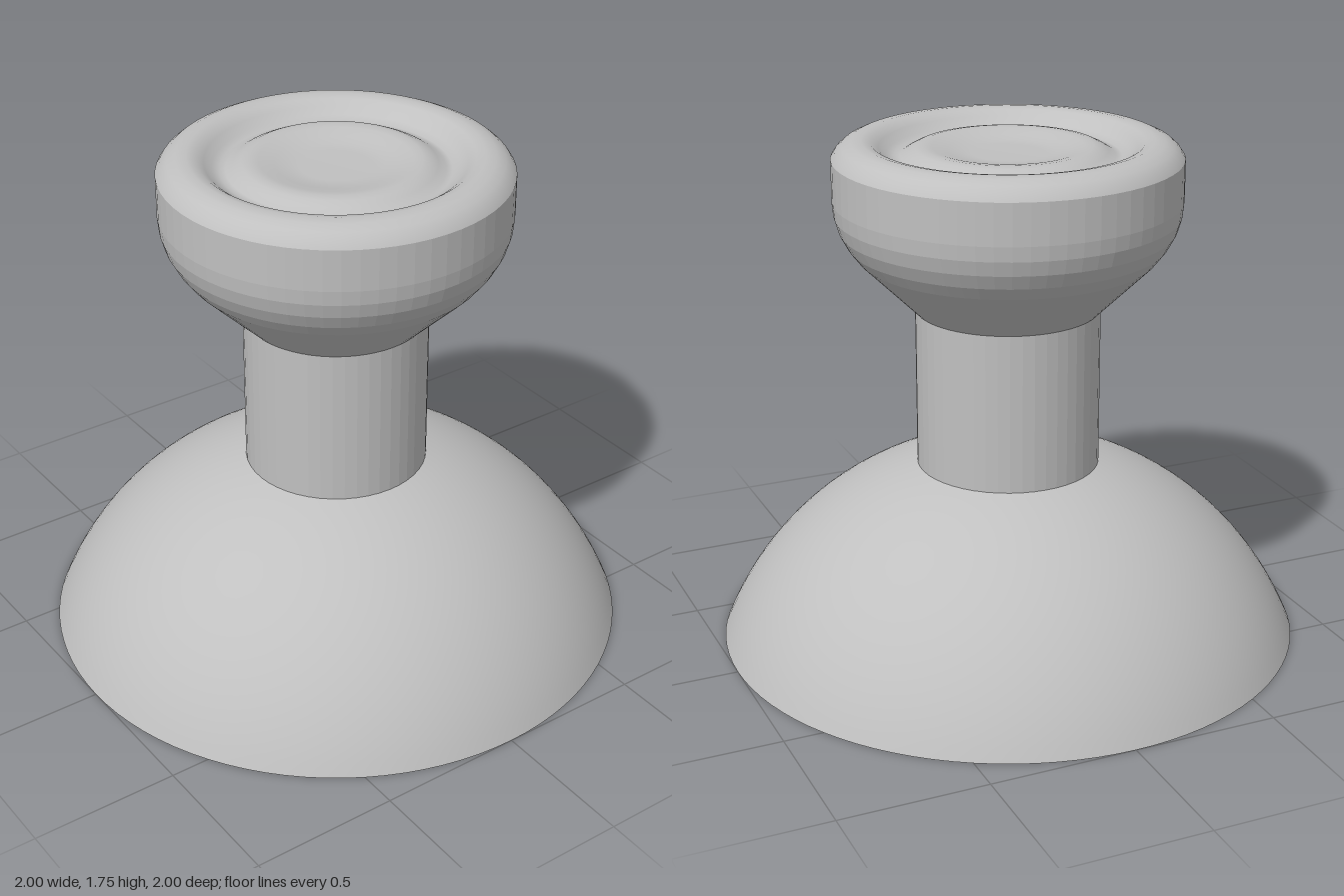
import * as THREE from 'three';

const grey = new THREE.MeshStandardMaterial({ color: 0xc0c0c0 });
grey.name = 'light grey plastic';

const STEM_R = 0.313;

// Spin a profile of [radius, height] pairs, running anticlockwise around the section
function spin(name, points, { sides = 64, faceted = false } = {}) {
  let geometry = new THREE.LatheGeometry(points.map(([r, y]) => new THREE.Vector2(r, y)), sides);
  if (faceted) {
    geometry = geometry.toNonIndexed();
    geometry.computeVertexNormals();
  }
  const mesh = new THREE.Mesh(geometry, grey);
  mesh.name = name;
  return mesh;
}

// Part of a sphere section between two heights, centred below the ground
function arc(r0, y0, y1, centreY = -0.419, steps = 20) {
  const radius = Math.hypot(r0, y0 - centreY);
  const a0 = Math.asin((y0 - centreY) / radius);
  const a1 = Math.asin((y1 - centreY) / radius);
  return Array.from({ length: steps + 1 }, (_, i) => {
    const a = a0 + (a1 - a0) * i / steps;
    return [radius * Math.cos(a), centreY + radius * Math.sin(a)];
  });
}

export function createModel() {
  const model = new THREE.Group();
  model.name = 'thumbstick';

  // Hollow dome: outside, rim, inside and flat ceiling
  const dome = new THREE.Group();
  dome.name = 'dome';
  const inside = arc(0.95, 0, 0.44).reverse();
  dome.add(
    spin('domeOutside', arc(1, 0, 0.62), { sides: 96 }),
    spin('domeRim', [[0.95, 0], [1, 0]], { sides: 96 }),
    spin('domeInside', inside, { sides: 96 }),
    spin('domeCeiling', [[0.3, 0.44], inside[0]], { sides: 96 }),
  );
  model.add(dome);

  // Stem with a double-flatted socket, its lower end a boss under the ceiling
  const section = new THREE.Shape();
  section.absarc(0, 0, STEM_R, 0, Math.PI * 2);
  const socket = new THREE.Path();
  const flat = Math.acos(0.135 / 0.19);
  socket.absarc(0, 0, 0.19, flat, Math.PI - flat);
  socket.absarc(0, 0, 0.19, Math.PI + flat, Math.PI * 2 - flat);
  socket.closePath();
  section.holes.push(socket);
  const stemGeometry = new THREE.ExtrudeGeometry(section, {
    depth: 0.77, bevelEnabled: false, curveSegments: 24,
  });
  stemGeometry.rotateX(-Math.PI / 2).translate(0, 0.4, 0);
  const stem = new THREE.Mesh(stemGeometry, grey);
  stem.name = 'stem';
  model.add(stem);

  // Flared cap with a rounded rim, ring groove and dished centre
  const cap = new THREE.Group();
  cap.name = 'cap';
  cap.add(
    spin('capFlare', [
      [0, 1.17], [STEM_R, 1.17], [0.5, 1.355], [0.535, 1.4], [0.562, 1.45],
      [0.577, 1.5], [0.582, 1.55], [0.582, 1.69],
    ], { faceted: true }),
    spin('capTop', [
      [0.582, 1.69], [0.568, 1.712], [0.545, 1.732], [0.515, 1.746], [0.48, 1.75],
      [0.45, 1.743], [0.425, 1.725], [0.4, 1.703], [0.375, 1.693], [0.355, 1.695],
      [0.33, 1.71], [0.305, 1.722], [0.28, 1.727], [0.25, 1.724], [0.2, 1.712],
      [0.16, 1.704], [0.12, 1.7], [0, 1.7],
    ]),
  );
  model.add(cap);

  return model;
}
